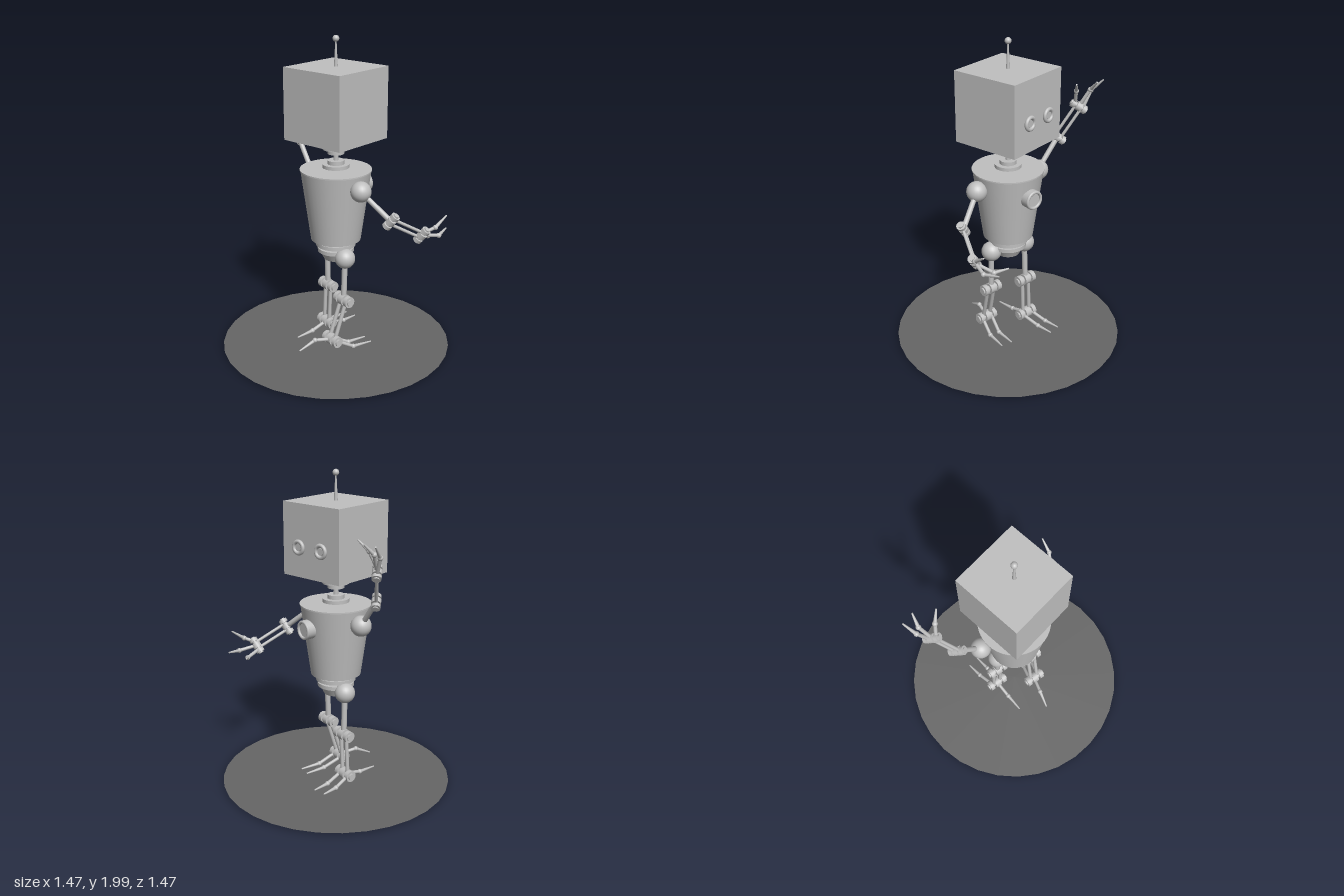
import * as THREE from 'three';

const metal = new THREE.MeshStandardMaterial({ color: 0xc0c0c0 });
metal.name = 'light grey metal';
const floor = new THREE.MeshStandardMaterial({ color: 0x666666, side: THREE.DoubleSide });
floor.name = 'dark grey floor';

const v = (x, y, z) => new THREE.Vector3(x, y, z);
const UP = v(0, 1, 0);

function add(parent, name, geometry, position, material = metal) {
  const mesh = new THREE.Mesh(geometry, material);
  mesh.name = name;
  if (position) mesh.position.copy(position);
  parent.add(mesh);
  return mesh;
}

// Round bar from a to b, radius ra at a and rb at b
function rod(parent, name, a, b, ra, rb = ra, sides = 16) {
  const dir = b.clone().sub(a);
  const geometry = new THREE.CylinderGeometry(rb, ra, dir.length(), sides);
  const mesh = add(parent, name, geometry, a.clone().add(b).multiplyScalar(0.5));
  mesh.quaternion.setFromUnitVectors(UP, dir.normalize());
  return mesh;
}

function ball(parent, name, p, r) {
  return add(parent, name, new THREE.SphereGeometry(r, 24, 16), p);
}

const along = (p, axis, d) => p.clone().addScaledVector(axis, d);

// Hinge: a pin carrying three drums
function hinge(parent, name, p, axis, s) {
  const group = new THREE.Group();
  group.name = name;
  parent.add(group);
  rod(group, 'pin', along(p, axis, -0.074 * s), along(p, axis, 0.074 * s), 0.022 * s);
  for (const [c, half, r] of [[-0.05, 0.014, 0.036], [0, 0.021, 0.037], [0.05, 0.014, 0.036]]) {
    rod(group, 'drum', along(p, axis, (c - half) * s), along(p, axis, (c + half) * s), r * s, r * s, 20);
  }
}

// Limb: ball, upper bar, hinge, twin lower bars, hinge, jointed digits
function limb(parent, spec) {
  const group = new THREE.Group();
  group.name = spec.name;
  parent.add(group);
  const { root, mid, end, s } = spec;
  const axis = spec.axis.clone().normalize();
  const [upper, bend, lower, tip, digit] = spec.parts;
  ball(group, upper + 'Ball', root, 0.064);
  rod(group, upper, root, mid, 0.018 * (s > 0.9 ? 1 : 0.9));
  hinge(group, bend, mid, axis, s);
  for (const side of [-1, 1]) {
    const shift = 0.026 * s * side;
    rod(group, lower, along(mid, axis, shift), along(end, axis, shift), 0.0125 * s);
  }
  hinge(group, tip, end, axis, s);
  for (const { offset, joint, point } of spec.digits) {
    const start = along(end, axis, offset * 0.036 * s);
    rod(group, digit + 'Base', start, joint, 0.011);
    ball(group, digit + 'Joint', joint, 0.016);
    rod(group, digit + 'Tip', joint, point, 0.012, 0.005, 10);
  }
}

export function createModel() {
  const model = new THREE.Group();
  model.name = 'wavingRobot';

  // Floor disc
  const disc = add(model, 'floorDisc', new THREE.CircleGeometry(0.733, 32), v(0, 0.02, 0), floor);
  disc.rotation.x = -Math.PI / 2;

  // Head, turned a little to one side
  const head = new THREE.Group();
  head.name = 'head';
  head.position.y = 1.595;
  head.rotation.y = 0.2;
  model.add(head);
  add(head, 'headBox', new THREE.BoxGeometry(0.442, 0.442, 0.442));
  for (const z of [-0.088, 0.088]) {
    const ring = add(head, 'eyeRing', new THREE.TorusGeometry(0.036, 0.012, 10, 24), v(0.232, -0.038, z));
    ring.rotation.y = Math.PI / 2;
    rod(head, 'eyeLens', v(0.21, -0.038, z), v(0.235, -0.038, z), 0.022);
  }
  rod(head, 'antenna', v(0, 0.215, 0), v(0, 0.375, 0), 0.012, 0.004);
  ball(head, 'antennaTip', v(0, 0.385, 0), 0.02);

  // Neck and waist: stacked discs on a stem
  rod(model, 'neckStem', v(0, 1.17, 0), v(0, 1.39, 0), 0.016);
  for (const [y, r, h] of [[1.207, 0.083, 0.022], [1.23, 0.052, 0.024], [1.298, 0.052, 0.03],
    [1.324, 0.084, 0.022], [1.356, 0.11, 0.024]]) {
    add(model, 'neckDisc', new THREE.CylinderGeometry(r, r, h, 32), v(0, y, 0));
  }
  rod(model, 'waistStem', v(0, 0.62, 0), v(0, 0.74, 0), 0.07);
  for (const [y, r] of [[0.7, 0.126], [0.66, 0.115]]) {
    add(model, 'waistDisc', new THREE.CylinderGeometry(r, r, 0.024, 32), v(0, y, 0));
  }
  add(model, 'pelvis', new THREE.CylinderGeometry(0.105, 0.075, 0.06, 32), v(0, 0.625, 0));

  // Torso bucket with a round dial on the chest
  add(model, 'torso', new THREE.CylinderGeometry(0.22, 0.157, 0.455, 40), v(0, 0.957, 0));
  add(model, 'torsoRim', new THREE.CylinderGeometry(0.223, 0.223, 0.008, 40), v(0, 1.183, 0));
  rod(model, 'chestDial', v(0.17, 1.055, 0), v(0.24, 1.055, 0), 0.06, 0.06, 28);
  const dialRing = add(model, 'dialRing', new THREE.TorusGeometry(0.051, 0.01, 10, 28), v(0.243, 1.055, 0));
  dialRing.rotation.y = Math.PI / 2;

  // Arms
  const armParts = ['upperArm', 'elbow', 'forearm', 'wrist', 'finger'];
  limb(model, {
    name: 'loweredArm', parts: armParts, s: 0.78, axis: v(0.26, 0.78, 0.57),
    root: v(0, 1.1, 0.245), mid: v(0.09, 0.943, 0.42), end: v(0.28, 0.832, 0.487),
    digits: [
      { offset: 1, joint: v(0.345, 0.882, 0.535), point: v(0.43, 0.942, 0.54) },
      { offset: 0, joint: v(0.395, 0.812, 0.515), point: v(0.49, 0.828, 0.48) },
      { offset: -1, joint: v(0.385, 0.785, 0.43), point: v(0.435, 0.81, 0.36) },
    ],
  });
  limb(model, {
    name: 'wavingArm', parts: armParts, s: 0.78, axis: v(0.59, -0.53, -0.61),
    root: v(0, 1.1, -0.25), mid: v(0.01, 1.285, -0.4), end: v(0.09, 1.49, -0.5),
    digits: [
      { offset: -1, joint: v(0.11, 1.605, -0.455), point: v(0.155, 1.667, -0.41) },
      { offset: 0, joint: v(0.145, 1.605, -0.54), point: v(0.21, 1.67, -0.53) },
      { offset: 1, joint: v(0.125, 1.59, -0.568), point: v(0.19, 1.665, -0.605) },
    ],
  });

  // Legs
  const legParts = ['thigh', 'knee', 'shin', 'ankle', 'toe'];
  limb(model, {
    name: 'rearLeg', parts: legParts, s: 1, axis: v(0, 0, 1),
    root: v(-0.02, 0.633, 0.12), mid: v(-0.03, 0.355, 0.12), end: v(-0.105, 0.09, 0.1),
    digits: [
      { offset: 1, joint: v(0.015, 0.026, 0.165), point: v(0.15, 0.022, 0.178) },
      { offset: -1, joint: v(0.025, 0.026, 0.1), point: v(0.16, 0.022, 0.105) },
      { offset: 0, joint: v(-0.22, 0.105, 0.07), point: v(-0.325, 0.055, 0.05) },
    ],
  });
  limb(model, {
    name: 'frontLeg', parts: legParts, s: 1, axis: v(0, 0, 1),
    root: v(0.02, 0.633, -0.12), mid: v(0.03, 0.355, -0.123), end: v(0.027, 0.085, -0.135),
    digits: [
      { offset: 1, joint: v(0.16, 0.048, -0.125), point: v(0.27, 0.045, -0.14) },
      { offset: -1, joint: v(0.15, 0.048, -0.2), point: v(0.255, 0.045, -0.217) },
      { offset: 0, joint: v(-0.1, 0.052, -0.125), point: v(-0.225, 0.047, -0.115) },
    ],
  });
  return model;
}
